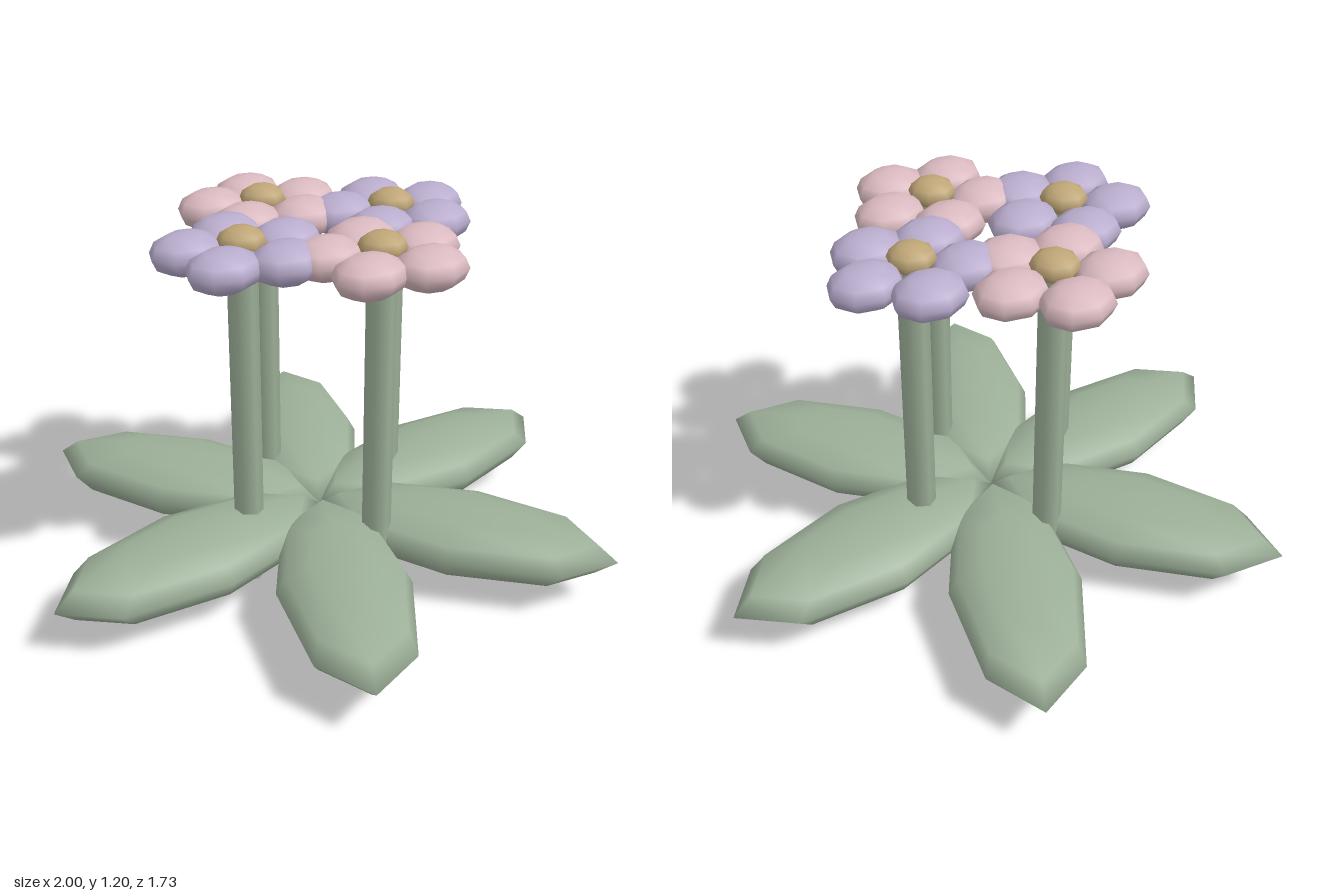
import * as THREE from 'three';

const material = (name, color) => {
  const m = new THREE.MeshStandardMaterial({ color });
  m.name = name;
  return m;
};

export function createModel() {
  const green = material('leafGreen', 0x9caf98);
  const pink = material('petalPink', 0xd9b9bf);
  const lilac = material('petalLilac', 0xb9accd);
  const tan = material('centreTan', 0xbfa677);

  const model = new THREE.Group();
  model.name = 'flowerPlant';

  // Low-sided ellipsoid shared by leaves, petals and flower centres
  const ball = new THREE.SphereGeometry(1, 8, 6);
  const ellipsoid = (name, mat, x, y, z, rx, ry, rz) => {
    const mesh = new THREE.Mesh(ball, mat);
    mesh.name = name;
    mesh.position.set(x, y, z);
    mesh.scale.set(rx, ry, rz);
    return mesh;
  };

  // Six leaves meeting at the middle
  for (let i = 0; i < 6; i++) {
    const a = (i * Math.PI) / 3;
    const leaf = ellipsoid('leaf', green, Math.cos(a) * 0.5, 0.157, Math.sin(a) * 0.5, 0.5, 0.103, 0.21);
    leaf.rotation.y = -a;
    model.add(leaf);
  }

  // Four flowers on stems; opposite flowers share a colour
  const stemGeometry = new THREE.CylinderGeometry(0.047, 0.047, 1.12, 6);
  for (let i = 0; i < 4; i++) {
    const a = (i * Math.PI) / 2;
    const flower = new THREE.Group();
    flower.name = 'flower';
    flower.position.set(Math.cos(a) * 0.29, 0, Math.sin(a) * 0.29);

    const stem = new THREE.Mesh(stemGeometry, green);
    stem.name = 'stem';
    stem.position.y = 0.56;
    flower.add(stem);

    // Five overlapping petals, all wider along x
    for (let p = 0; p < 5; p++) {
      const t = (p * Math.PI * 2) / 5;
      flower.add(ellipsoid('petal', i % 2 ? pink : lilac,
        Math.cos(t) * 0.16, 1.12, Math.sin(t) * 0.16, 0.12, 0.065, 0.1));
    }
    flower.add(ellipsoid('flowerCentre', tan, 0, 1.153, 0, 0.075, 0.047, 0.075));
    model.add(flower);
  }
  return model;
}
